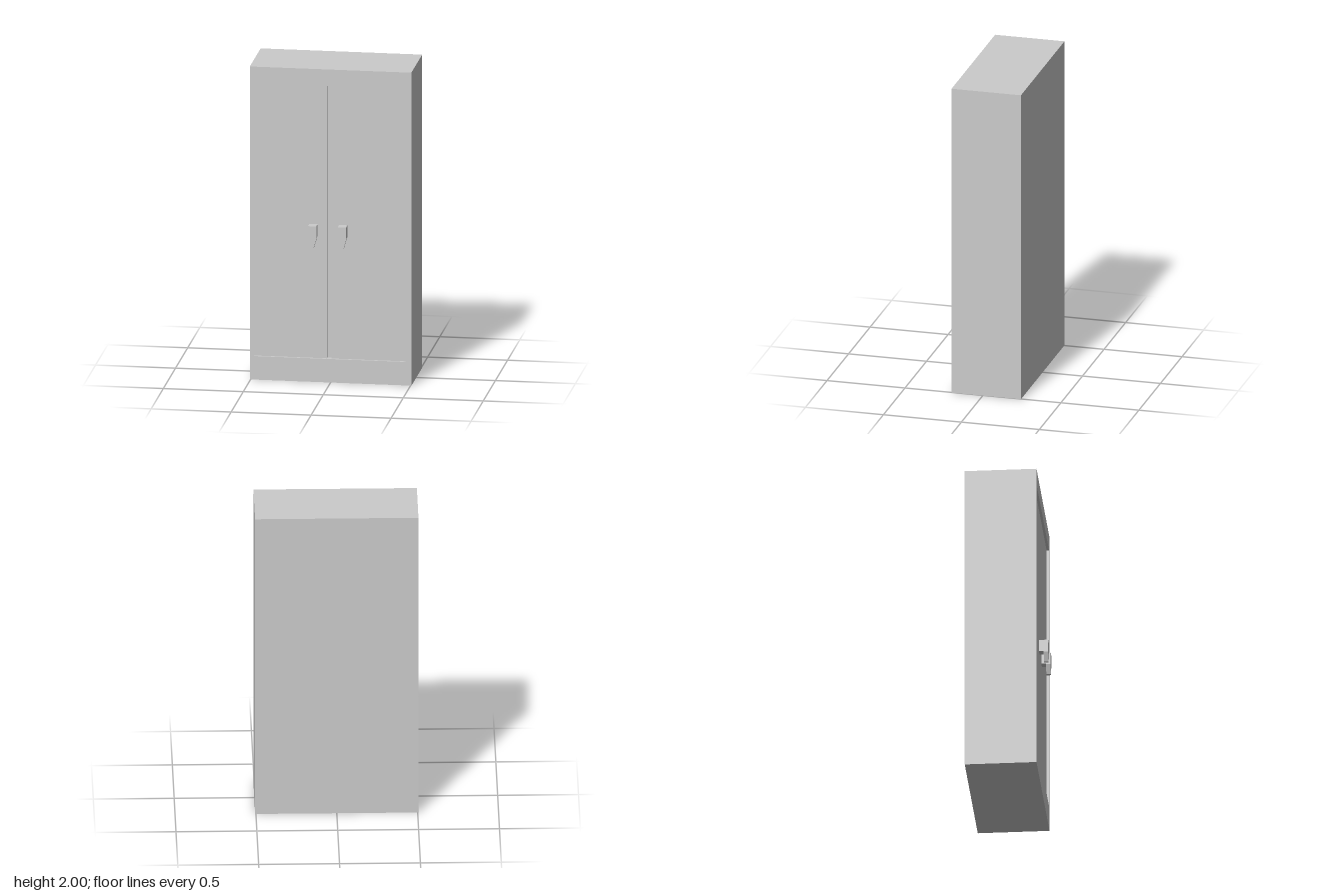
import * as THREE from 'three';

const W = 1.01, H = 2, BACK = -0.245, FRONT = 0.2;
const GROOVE = 0.165, DOOR = 0.185; // depths of the centre groove and door faces
const LEFT = -0.48, RIGHT = 0.467, BOTTOM = 0.15, TOP = 1.895;

export function createModel() {
  const group = new THREE.Group();
  const material = new THREE.MeshStandardMaterial({ color: 0xcccccc, flatShading: true });

  const add = (name, geometry, parent = group) => {
    const mesh = new THREE.Mesh(geometry, material);
    mesh.name = name;
    parent.add(mesh);
    return mesh;
  };
  // Box given by its minimum and maximum on each axis
  const box = (name, x0, x1, y0, y1, z0, z1, parent) =>
    add(name, new THREE.BoxGeometry(x1 - x0, y1 - y0, z1 - z0), parent)
      .position.set((x0 + x1) / 2, (y0 + y1) / 2, (z0 + z1) / 2);
  const outline = (points) => points.map(([x, y]) => new THREE.Vector2(x, y));
  const rect = (x0, x1, y0, y1) => outline([[x0, y0], [x1, y0], [x1, y1], [x0, y1]]);
  const extrude = (shape, z0, z1) =>
    new THREE.ExtrudeGeometry(shape, { depth: z1 - z0, bevelEnabled: false }).translate(0, 0, z0);

  // Cabinet body, with a front frame around the door opening
  box('cabinetBody', -W / 2, W / 2, 0, H, BACK, GROOVE);
  const frame = new THREE.Shape(rect(-W / 2, W / 2, 0, H));
  frame.holes.push(new THREE.Path(rect(LEFT, RIGHT, BOTTOM, TOP).reverse()));
  add('frontFrame', extrude(frame, GROOVE, FRONT));

  // Recessed doors on either side of the centre groove
  box('rightDoor', LEFT, -0.026, BOTTOM, TOP, GROOVE, DOOR);
  box('leftDoor', 0.005, RIGHT, BOTTOM, TOP, GROOVE, DOOR);

  // Handles: a mounting block behind a tapered grip
  const grip = new THREE.Shape(outline([
    [-0.026, 1.005], [-0.026, 0.925], [-0.009, 0.865],
    [0.009, 0.865], [0.026, 0.925], [0.026, 1.005],
  ]));
  for (const [name, x] of [['rightHandle', -0.109], ['leftHandle', 0.077]]) {
    const handle = new THREE.Group();
    handle.name = name;
    handle.position.x = x;
    add('handleGrip', extrude(grip, 0.215, 0.243), handle);
    box('handleMount', -0.026, 0.026, 0.93, 1.005, DOOR, 0.215, handle);
    group.add(handle);
  }
  return group;
}
